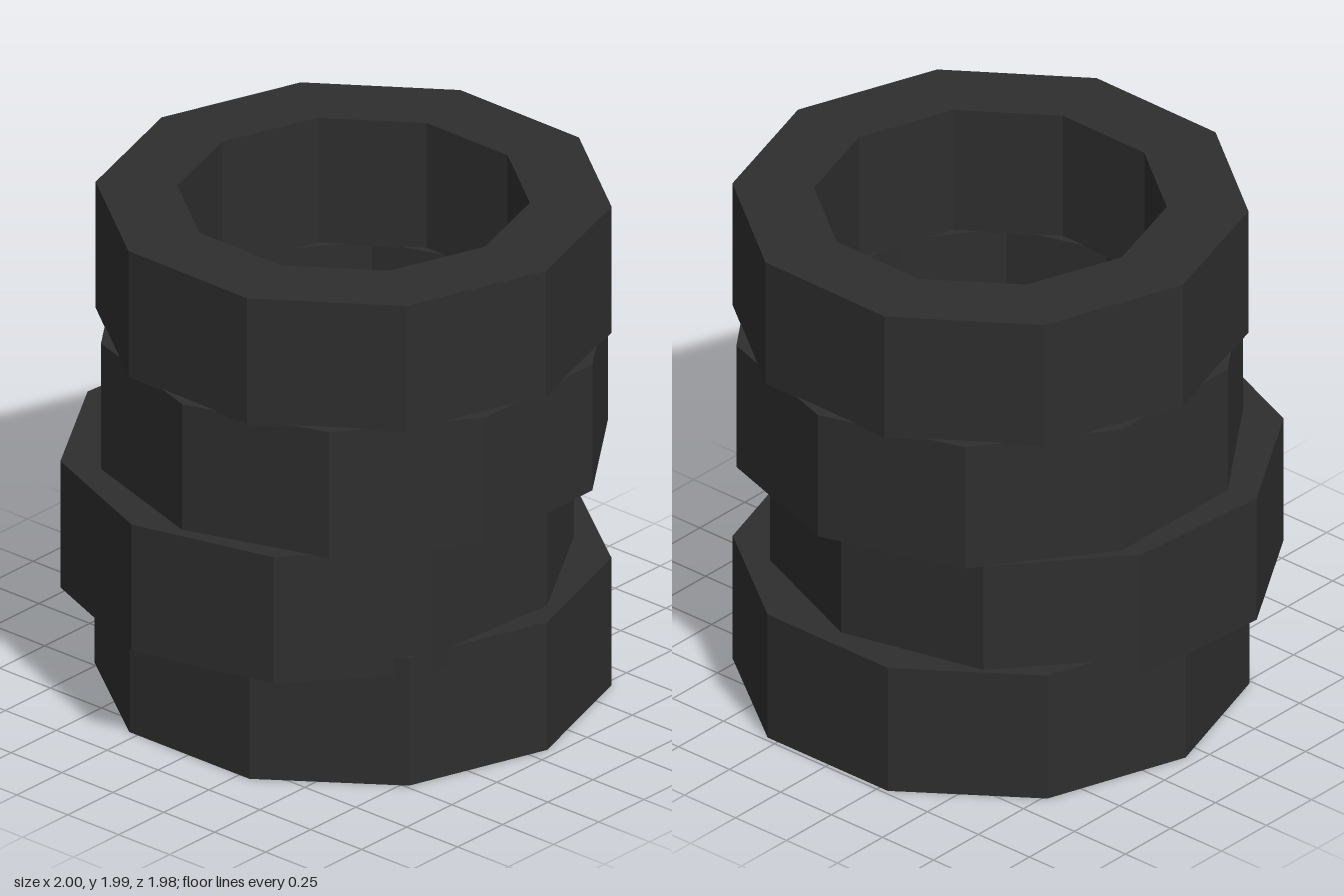
import * as THREE from 'three';

const SIDES = 10;
const OUTER = 0.954;
const INNER = 0.652;

// Decagon outline; turn is measured from the front (+z) toward +x.
function decagon(radius, turn) {
  return Array.from({ length: SIDES }, (_, i) => {
    const a = turn + (i / SIDES) * Math.PI * 2;
    return new THREE.Vector2(Math.sin(a) * radius, -Math.cos(a) * radius);
  });
}

// Flat-sided hollow ring standing on y = 0.
function ringGeometry(height, turn) {
  const shape = new THREE.Shape(decagon(OUTER, turn));
  shape.holes.push(new THREE.Path(decagon(INNER, turn).reverse()));
  const geometry = new THREE.ExtrudeGeometry(shape, { depth: height, bevelEnabled: false });
  return geometry.rotateX(-Math.PI / 2);
}

export function createModel() {
  const group = new THREE.Group();
  group.name = 'ringStack';
  const material = new THREE.MeshStandardMaterial({ color: 0x2e2e2e, flatShading: true });

  // Rings loosely stacked: each is shifted and turned a little.
  const rings = [
    { name: 'bottomRing', x: 0.075, z: 0.005, y: 0, height: 0.523, turn: 0 },
    { name: 'lowerMiddleRing', x: -0.05, z: -0.06, y: 0.447, height: 0.517, turn: 13.8 },
    { name: 'upperMiddleRing', x: 0.043, z: 0.04, y: 0.962, height: 0.516, turn: 18 },
    { name: 'topRing', x: 0.041, z: 0.038, y: 1.472, height: 0.516, turn: -0.7 },
  ];
  for (const { name, x, y, z, height, turn } of rings) {
    const ring = new THREE.Mesh(ringGeometry(height, THREE.MathUtils.degToRad(turn)), material);
    ring.name = name;
    ring.position.set(x, y, z);
    group.add(ring);
  }
  return group;
}
